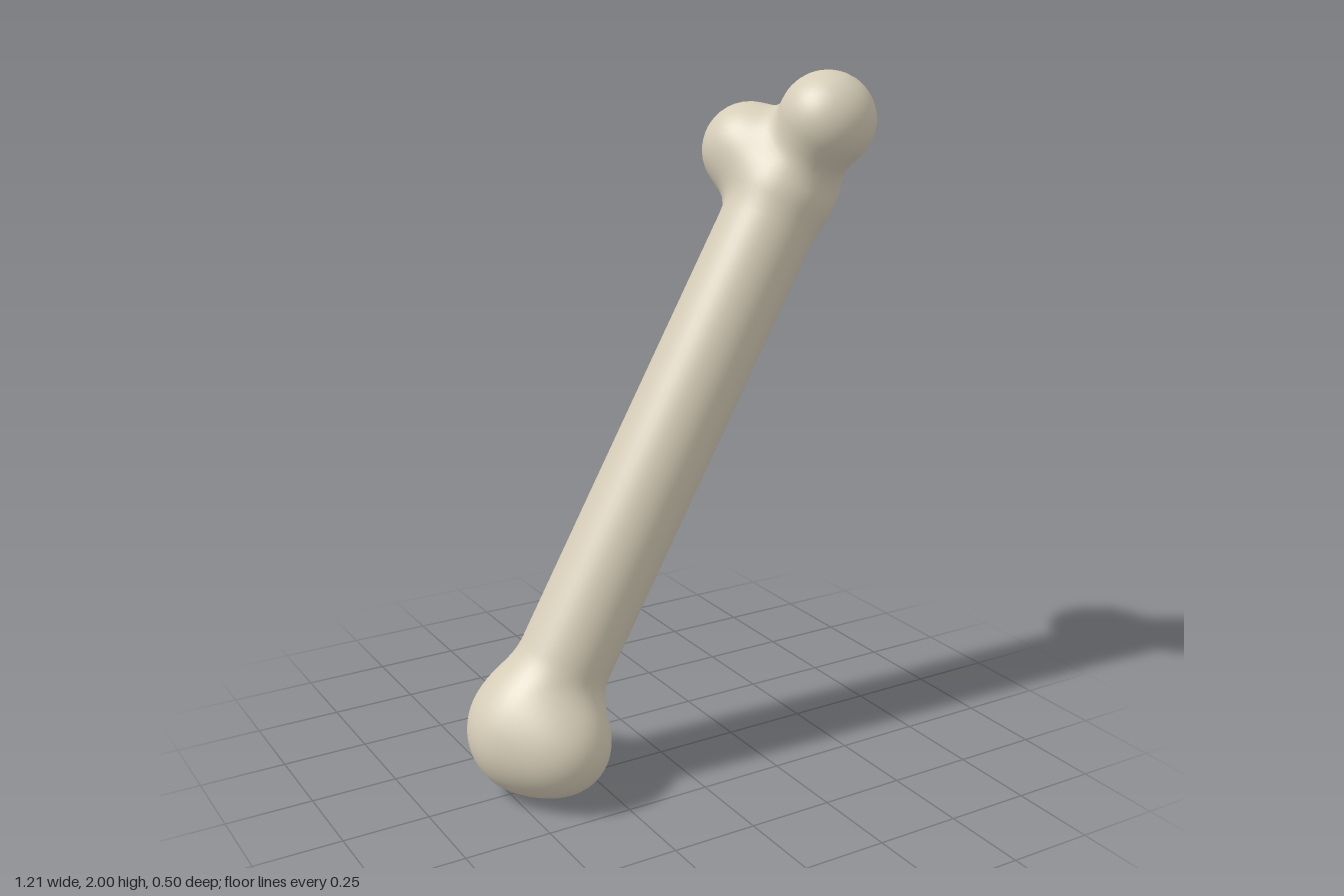
import * as THREE from 'three';

const V = (x, y, z) => new THREE.Vector3(x, y, z);

// Rounded ends: each knob is a centre and a radius
const knobs = [
  [V(-0.42, 0.19, 0), 0.19],        // lower head
  [V(-0.385, 0.172, 0.115), 0.13],  // lower condyles
  [V(-0.385, 0.172, -0.115), 0.13],
  [V(0.422, 1.70, 0), 0.145],       // upper neck
  [V(0.467, 1.862, 0.112), 0.137],  // upper front condyle
  [V(0.36, 1.765, -0.11), 0.137],   // upper back condyle
];
const shaftStart = V(-0.375, 0.29, 0.01), shaftEnd = V(0.37, 1.63, 0.02), shaftRadius = 0.136;

function smoothMin(a, b, k) {
  const h = Math.max(k - Math.abs(a - b), 0) / k;
  return Math.min(a, b) - h * h * k / 4;
}

// Signed distance to the softly blended shaft and knobs
const axis = shaftEnd.clone().sub(shaftStart), tmp = V(0, 0, 0);
function distance(p) {
  const t = THREE.MathUtils.clamp(tmp.subVectors(p, shaftStart).dot(axis) / axis.lengthSq(), 0, 1);
  let d = tmp.copy(axis).multiplyScalar(t).add(shaftStart).distanceTo(p) - shaftRadius;
  for (const [c, r] of knobs) d = smoothMin(d, p.distanceTo(c) - r, 0.075);
  return d;
}

function gradient(p) {
  const e = 0.002, g = V(0, 0, 0);
  for (const k of ['x', 'y', 'z']) {
    const a = p.clone(), b = p.clone();
    a[k] += e;
    b[k] -= e;
    g[k] = distance(a) - distance(b);
  }
  return g.normalize();
}

// Skin the blended form with one vertex per surface cell and one quad per crossed edge
function skin(min, max, step) {
  const n = max.clone().sub(min).divideScalar(step).ceil().addScalar(1).toArray();
  const stride = [1, n[0], n[0] * n[1]];
  const at = (i, j, k) => V(i, j, k).multiplyScalar(step).add(min);
  const field = new Float32Array(n[0] * n[1] * n[2]);
  for (let k = 0, q = 0; k < n[2]; k++)
    for (let j = 0; j < n[1]; j++)
      for (let i = 0; i < n[0]; i++) field[q++] = distance(at(i, j, k));

  const positions = [], normals = [], indices = [], vertexOf = new Map();
  const eachCell = (visit) => {
    for (let k = 0; k < n[2] - 1; k++)
      for (let j = 0; j < n[1] - 1; j++)
        for (let i = 0; i < n[0] - 1; i++) visit(i, j, k, i + j * stride[1] + k * stride[2]);
  };

  eachCell((i, j, k, q) => {
    const sum = V(0, 0, 0);
    let count = 0;
    for (let c = 0; c < 8; c++) {
      const o = [c & 1, (c >> 1) & 1, c >> 2];
      const start = q + o[0] + o[1] * stride[1] + o[2] * stride[2];
      for (let a = 0; a < 3; a++) {
        if (o[a]) continue;
        const f0 = field[start], f1 = field[start + stride[a]];
        if ((f0 < 0) === (f1 < 0)) continue;
        const p = [i + o[0], j + o[1], k + o[2]];
        p[a] += f0 / (f0 - f1);
        sum.add(at(...p));
        count++;
      }
    }
    if (!count) return;
    const p = sum.divideScalar(count);
    p.addScaledVector(gradient(p), -distance(p));
    vertexOf.set(q, positions.length / 3);
    positions.push(...p.toArray());
    normals.push(...gradient(p).toArray());
  });

  eachCell((i, j, k, q) => {
    for (let a = 0; a < 3; a++) {
      const inside = field[q] < 0;
      if (inside === (field[q + stride[a]] < 0)) continue;
      const b = stride[(a + 1) % 3], c = stride[(a + 2) % 3];
      const quad = [q, q - b, q - b - c, q - c].map((cell) => vertexOf.get(cell));
      if (!inside) quad.reverse();
      indices.push(quad[0], quad[1], quad[2], quad[0], quad[2], quad[3]);
    }
  });

  const geometry = new THREE.BufferGeometry();
  geometry.setAttribute('position', new THREE.Float32BufferAttribute(positions, 3));
  geometry.setAttribute('normal', new THREE.Float32BufferAttribute(normals, 3));
  geometry.setIndex(indices);
  return geometry;
}

export function createModel() {
  const group = new THREE.Group();
  group.name = 'bone';
  const ivory = new THREE.MeshStandardMaterial({ color: 0xd6cdb8 });
  ivory.name = 'ivory';
  const bone = new THREE.Mesh(skin(V(-0.66, -0.05, -0.3), V(0.66, 2.05, 0.3), 0.02), ivory);
  bone.name = 'boneShaftAndKnobs';
  group.add(bone);
  return group;
}
